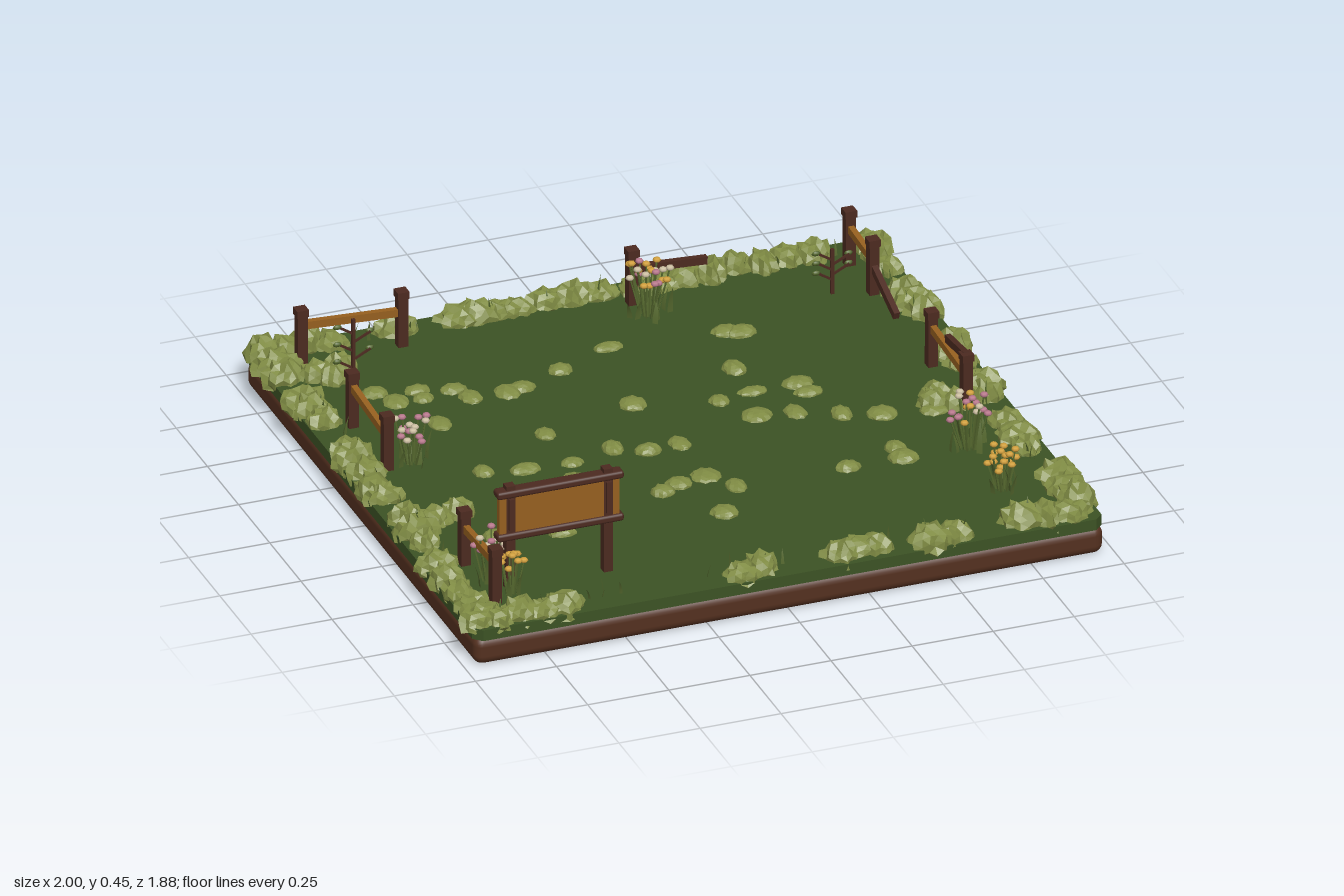
import * as THREE from 'three';
import { RoundedBoxGeometry } from 'three/addons/geometries/RoundedBoxGeometry.js';

const paint = (name, color, extra = {}) => {
  const m = new THREE.MeshStandardMaterial({ color, ...extra });
  m.name = name;
  return m;
};

export function createModel() {
  const root = new THREE.Group();
  root.name = 'fencedMeadow';
  const soil = paint('soil', 0x54301f);
  const grass = paint('grass', 0x3c5224);
  const bushGreen = paint('bushGreen', 0x808c44, { flatShading: true });
  const plank = paint('plankWood', 0x96601f);
  const dark = paint('darkWood', 0x4c2a20);
  const leaf = paint('leafGreen', 0x55682e, { side: THREE.DoubleSide });
  const yellow = paint('yellowPetal', 0xd2a03c);
  const pink = paint('pinkPetal', 0xb8788c);
  const cream = paint('creamPetal', 0xcdbfa2);

  let seed = 17;
  const rnd = (a = 0, b = 1) => {
    seed = (seed * 16807) % 2147483647;
    return a + (b - a) * (seed / 2147483647);
  };
  const add = (name, geo, mat, parent = root) => {
    const m = new THREE.Mesh(geo, mat);
    m.name = name;
    parent.add(m);
    return m;
  };
  const group = (name) => {
    const g = new THREE.Group();
    g.name = name;
    root.add(g);
    return g;
  };

  // Ground slab: rounded soil base, turf with clipped corners
  add('soilBase', new RoundedBoxGeometry(1.94, 0.09, 1.85, 3, 0.03), soil).position.set(0, 0.045, 0);
  const X = 0.97, Z = 0.92, c = 0.025;
  const outline = new THREE.Shape([
    [-X + c, -Z], [X - c, -Z], [X, -Z + c], [X, Z - c],
    [X - c, Z], [-X + c, Z], [-X, Z - c], [-X, -Z + c],
  ].map(([x, z]) => new THREE.Vector2(x, z)));
  const turf = new THREE.ExtrudeGeometry(outline, { depth: 0.035, bevelEnabled: false });
  add('turf', turf.rotateX(-Math.PI / 2).translate(0, 0.08, 0), grass);

  // Leafy clump: a flattened ball with crumpled vertices, kept inside the footprint
  function clump(name, parent, x, z, rx, ry, rz, rough, base = 0.11) {
    const geo = new THREE.IcosahedronGeometry(1, 2);
    const p = geo.attributes.position, k = rnd(0, 9), turn = rnd(0, 6);
    const v = new THREE.Vector3();
    for (let i = 0; i < p.count; i++) {
      v.fromBufferAttribute(p, i);
      const s = 1 + rough * Math.sin(7 * v.x + k + turn) * Math.cos(6 * v.z - k + 4 * v.y);
      p.setXYZ(i,
        THREE.MathUtils.clamp(x + v.x * s * rx, -1, 1),
        base + Math.max(v.y, -0.25) * s * ry,
        THREE.MathUtils.clamp(z + v.z * s * rz, -0.94, 0.94));
    }
    geo.computeVertexNormals();
    add(name, geo, bushGreen, parent);
  }

  // Hedge clumps along the four edges
  const hedge = group('hedge');
  const back = [-0.93, -0.87, -0.8, -0.73, -0.53, -0.33, -0.28, -0.22, -0.16, -0.06, 0.02, 0.1,
    0.22, 0.29, 0.36, 0.44, 0.52, 0.6, 0.68, 0.76];
  const front = [-0.94, -0.88, -0.81, -0.74, -0.68, -0.13, -0.06, 0.18, 0.24, 0.29, 0.45, 0.53, 0.74, 0.81, 0.88];
  const right = [-0.87, -0.8, -0.72, -0.56, -0.5, -0.43, -0.22, -0.16, -0.1, 0.04, 0.1, 0.28, 0.36, 0.44,
    0.64, 0.72, 0.79];
  const left = [-0.8, -0.72, -0.57, -0.51, -0.43, -0.24, -0.18, -0.1, 0.01, 0.06, 0.21, 0.29, 0.37,
    0.5, 0.6, 0.68, 0.76, 0.83];
  const edge = (list, place) => list.forEach((t) => {
    const [x, z] = place(t);
    clump('hedgeClump', hedge, x, z, rnd(0.045, 0.07), rnd(0.04, 0.066), rnd(0.045, 0.062), 0.25);
  });
  edge(back, (t) => [t, -0.875 + rnd(-0.01, 0.015)]);
  edge(front, (t) => [t, 0.86 + rnd(-0.015, 0.015)]);
  edge(right, (t) => [0.92 + rnd(-0.01, 0.015), t]);
  edge(left, (t) => [-0.925 + rnd(-0.01, 0.015), t]);
  for (const [x, z] of [[-0.84, -0.7], [-0.76, -0.72], [-0.8, -0.66], [-0.84, 0.25], [-0.76, 0.23],
    [0.76, 0.1], [0.78, 0.06], [0.82, 0.12]]) {
    clump('innerClump', hedge, x, z, 0.05, 0.055, 0.045, 0.2);
  }

  // Low mounds scattered over the turf
  const mounds = group('mounds');
  for (const [x, z] of [
    [-0.72, -0.54], [-0.6, -0.51], [-0.68, -0.47], [-0.6, -0.46], [-0.5, -0.48], [-0.47, -0.42],
    [-0.36, -0.41], [-0.61, -0.3], [-0.17, -0.48], [-0.31, -0.42], [0.01, -0.56], [0.36, -0.53],
    [0.4, -0.51], [0.3, -0.31], [-0.05, -0.21], [-0.35, -0.13], [0.19, -0.14], [0.3, -0.16],
    [0.44, -0.16], [0.26, -0.02], [0.37, 0], [0.45, -0.1], [0.49, 0.06], [0.6, 0.1],
    [-0.2, 0.02], [-0.01, 0.06], [-0.11, 0.07], [-0.6, 0.02], [-0.48, 0.05], [-0.34, 0.06],
    [-0.37, 0.16], [-0.82, 0.25], [-0.71, 0.4], [-0.52, 0.45], [-0.36, 0.35], [-0.36, 0.4],
    [-0.16, 0.32], [-0.1, 0.29], [-0.01, 0.27], [0.05, 0.36], [0.39, 0.37], [0.56, 0.37],
    [0.56, 0.31], [-0.04, 0.5], [0.75, 0.13]]) {
    clump('mound', mounds, x, z, rnd(0.028, 0.048), rnd(0.014, 0.024), rnd(0.025, 0.045), 0.1, 0.115);
  }

  // Beam between two points
  function beam(name, parent, a, b, w, h, mat) {
    const p = new THREE.Vector3(...a), q = new THREE.Vector3(...b);
    const m = add(name, new THREE.BoxGeometry(w, h, p.distanceTo(q)), mat, parent);
    m.position.copy(p).lerp(q, 0.5);
    m.lookAt(q);
  }
  // Fence: posts with rails
  const fence = group('fence');
  const post = (x, z, top = 0.293) => {
    beam('fencePost', fence, [x, 0.1, z], [x, top, z], 0.03, 0.03, dark);
    add('postCap', new THREE.BoxGeometry(0.036, 0.022, 0.036), dark, fence).position.set(x, top - 0.01, z);
  };
  const rail = (a, b, mat = plank) => beam('fenceRail', fence, a, b, 0.018, 0.024, mat);
  for (const [x, z] of [[-0.85, -0.79], [-0.54, -0.79], [0.17, -0.79], [0.84, -0.79], [0.84, -0.6],
    [0.84, -0.13], [0.84, 0.15], [-0.85, -0.38], [-0.85, -0.1], [-0.85, 0.52], [-0.85, 0.77]]) post(x, z);
  rail([-0.85, 0.24, -0.79], [-0.54, 0.225, -0.79]);
  rail([0.84, 0.235, -0.79], [0.84, 0.225, -0.6]);
  rail([0.84, 0.225, 0.15], [0.84, 0.24, -0.13]);
  rail([-0.85, 0.225, -0.1], [-0.85, 0.245, -0.38]);
  rail([-0.85, 0.235, 0.52], [-0.85, 0.245, 0.77]);
  // Broken rails
  rail([0.17, 0.228, -0.79], [0.4, 0.215, -0.79], dark);
  rail([0.84, 0.285, 0.15], [0.84, 0.268, 0], dark);
  rail([0.84, 0.205, -0.6], [0.84, 0.135, -0.41], dark);

  // Signboard with frame and straps
  const sign = group('signboard');
  for (const x of [-0.78, -0.48]) {
    beam('signPost', sign, [x, 0.1, 0.7], [x, 0.45, 0.7], 0.028, 0.028, dark);
    add('signStrap', new THREE.BoxGeometry(0.016, 0.1, 0.008), dark, sign).position.set(x, 0.36, 0.718);
  }
  add('signPanel', new THREE.BoxGeometry(0.37, 0.14, 0.022), plank, sign).position.set(-0.63, 0.355, 0.702);
  for (const y of [0.287, 0.425]) {
    const r = add('signRail', new RoundedBoxGeometry(0.39, 0.024, 0.042, 2, 0.008), dark, sign);
    r.position.set(-0.628, y, 0.7);
  }

  // Blade: narrow curved leaf
  function blade(parent, x, z, h, w, lean) {
    const g = new THREE.PlaneGeometry(w, h, 2, 3).translate(0, h / 2, 0);
    const p = g.attributes.position;
    for (let i = 0; i < p.count; i++) {
      const t = p.getY(i) / h;
      p.setX(i, p.getX(i) * (1 - t * t));
      p.setZ(i, lean * t * t);
    }
    g.computeVertexNormals();
    const m = add('blade', g, leaf, parent);
    m.position.set(x, 0.11, z);
    m.rotation.y = rnd(0, 6.28);
  }
  // Flower patches: stems, leaves and small blossoms
  function flowers(x, z, top, n, spread, petals) {
    const g = group('flowerPatch');
    for (let i = 0; i < n; i++) {
      const a = i * 2.4, r = spread * Math.sqrt((i + 0.5) / n);
      const px = x + r * Math.cos(a), pz = z + r * Math.sin(a), y = top - rnd(0, 0.06);
      beam('stem', g, [x + (px - x) * 0.4, 0.11, z + (pz - z) * 0.4], [px, y, pz], 0.004, 0.004, leaf);
      const b = add('blossom', new THREE.SphereGeometry(0.013, 7, 4), petals[i % petals.length], g);
      b.position.set(px, y, pz);
      b.scale.y = 0.6;
      if (i % 2) blade(g, px, pz, rnd(0.06, 0.11), 0.018, 0.02);
    }
  }
  flowers(0.19, -0.71, 0.285, 22, 0.065, [yellow, cream, yellow, pink]);
  flowers(-0.77, -0.11, 0.26, 16, 0.055, [cream, pink]);
  flowers(0.76, 0.38, 0.275, 18, 0.06, [pink, pink, yellow, cream]);
  flowers(0.76, 0.65, 0.25, 16, 0.05, [yellow]);
  flowers(-0.82, 0.65, 0.28, 14, 0.05, [pink, cream]);
  flowers(-0.79, 0.74, 0.26, 10, 0.04, [yellow]);

  // Thin saplings in the back corners
  for (const [x, z, h] of [[-0.75, -0.63, 0.32], [0.73, -0.64, 0.26]]) {
    const g = group('sapling');
    beam('trunk', g, [x, 0.1, z], [x, h, z], 0.01, 0.01, dark);
    for (let i = 0; i < 5; i++) {
      const s = i % 2 ? 1 : -1, y = 0.16 + (h - 0.18) * i / 5;
      beam('twig', g, [x, y, z], [x + s * 0.05, y + 0.03, z + 0.006 * s], 0.006, 0.006, dark);
      const b = add('twigLeaf', new THREE.SphereGeometry(0.014, 6, 4), leaf, g);
      b.position.set(x + s * 0.05, y + 0.03, z);
      b.scale.set(1, 0.6, 0.4);
    }
  }

  // Grass blades along the edges
  const blades = group('grassBlades');
  for (let i = 0; i < 72; i++) {
    const t = rnd(-0.9, 0.9), s = i % 4 < 2 ? 1 : -1;
    const [x, z] = i % 2 ? [s * 0.9, t * 0.95] : [t, s * 0.85];
    blade(blades, x, z, rnd(0.04, 0.085), 0.01, rnd(0.005, 0.02));
  }
  return root;
}
